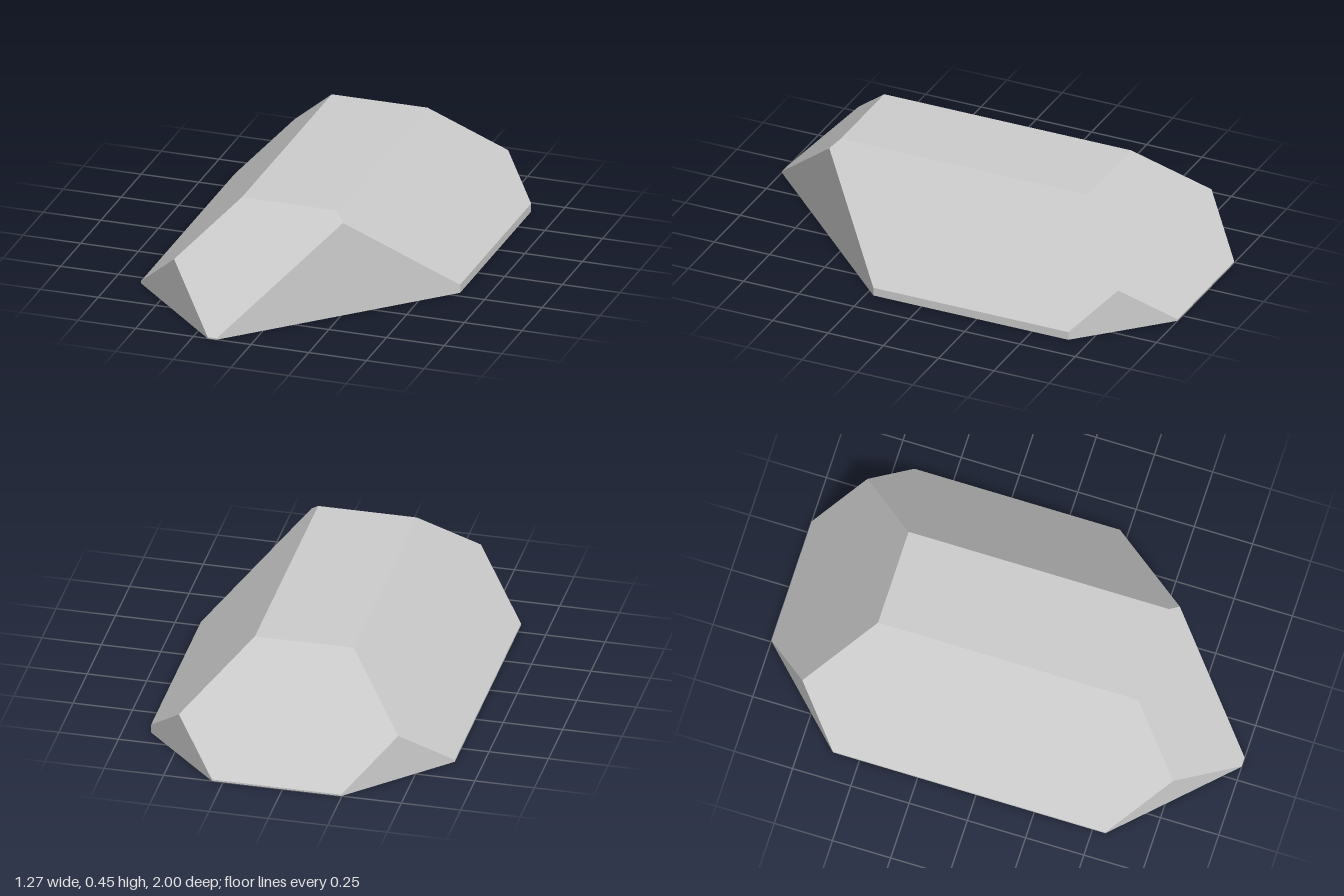
import * as THREE from 'three';

// Each cut keeps the space where a*x + b*y + c*z <= d
const CUTS = [
  // base and flat top
  [0, -1, 0, 0], [0, 1, 0, 0.448],
  // thin upright rim
  [1, 0, 0, 0.633], [-1, 0, 0, 0.633], [0, 0, 1, 1], [0, 0, -1, 1],
  // 45 degree sloping sides
  [1, 1, 0, 0.669], [-1, 1, 0, 0.642], [0, 1, 1, 1.006], [0, 1, -1, 1.007],
  // upright corner chamfers
  [1, 0, 1, 0.851], [-1, 0, 1, 1.188], [1, 0, -1, 1.297], [-1, 0, -1, 1.247],
].map(([a, b, c, d]) => ({ n: new THREE.Vector3(a, b, c), d }));

// Point shared by three planes, or null when they have none
function meet(p, q, r) {
  const qr = q.n.clone().cross(r.n);
  const det = p.n.dot(qr);
  if (Math.abs(det) < 1e-6) return null;
  return qr.multiplyScalar(p.d)
    .addScaledVector(r.n.clone().cross(p.n), q.d)
    .addScaledVector(p.n.clone().cross(q.n), r.d)
    .divideScalar(det);
}

// Flat-faced convex solid bounded by the cuts
function cutSolid(cuts) {
  const corners = [];
  for (let i = 0; i < cuts.length; i++)
    for (let j = i + 1; j < cuts.length; j++)
      for (let k = j + 1; k < cuts.length; k++) {
        const v = meet(cuts[i], cuts[j], cuts[k]);
        if (v && cuts.every((c) => c.n.dot(v) <= c.d + 1e-6)
          && !corners.some((w) => w.distanceTo(v) < 1e-5)) corners.push(v);
      }

  const positions = [];
  for (const { n, d } of cuts) {
    // order the corners of this facet counter-clockwise, then fan it
    const ring = corners.filter((v) => Math.abs(n.dot(v) - d) < 1e-5);
    if (ring.length < 3) continue;
    const mid = ring.reduce((s, v) => s.add(v), new THREE.Vector3()).divideScalar(ring.length);
    const u = ring[0].clone().sub(mid).normalize();
    const w = n.clone().normalize().cross(u);
    const angle = (v) => {
      const r = v.clone().sub(mid);
      return Math.atan2(r.dot(w), r.dot(u));
    };
    ring.sort((a, b) => angle(a) - angle(b));
    for (let i = 1; i < ring.length - 1; i++)
      for (const v of [ring[0], ring[i], ring[i + 1]]) positions.push(v.x, v.y, v.z);
  }
  const geometry = new THREE.BufferGeometry();
  geometry.setAttribute('position', new THREE.Float32BufferAttribute(positions, 3));
  geometry.computeVertexNormals();
  return geometry;
}

export function createModel() {
  const group = new THREE.Group();
  group.name = 'facetedBlock';
  const block = new THREE.Mesh(
    cutSolid(CUTS),
    new THREE.MeshStandardMaterial({ color: 0xcccccc, flatShading: true }),
  );
  block.name = 'chamferedBlock';
  group.add(block);
  return group;
}
